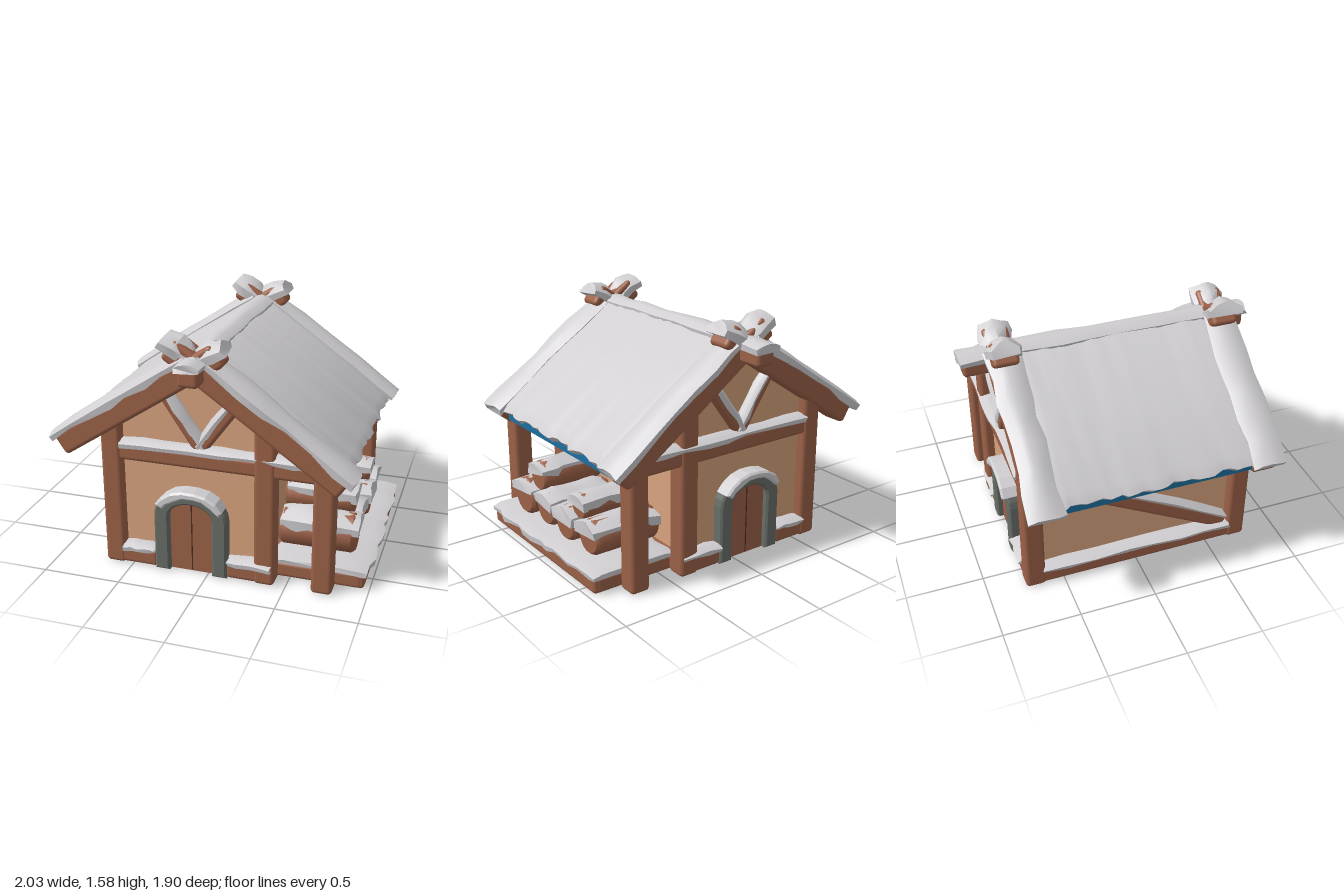
import * as THREE from 'three';
import { toCreasedNormals } from 'three/addons/utils/BufferGeometryUtils.js';
import { RoundedBoxGeometry } from 'three/addons/geometries/RoundedBoxGeometry.js';

const V = (x, y, z) => new THREE.Vector3(x, y, z);
const UP = V(0, 1, 0);
const outline = (points) => new THREE.Shape(points.map(([x, y]) => new THREE.Vector2(x, y)));

export function createModel() {
  const model = new THREE.Group();
  model.name = 'snowyCabin';

  const material = (name, color, side = THREE.FrontSide) => {
    const m = new THREE.MeshStandardMaterial({ color, side });
    m.name = name;
    return m;
  };
  const wood = material('wood', 0x9b6148);
  const seamWood = material('darkWood', 0x4a2d22);
  const plaster = material('plaster', 0xd7a37d, THREE.DoubleSide);
  const snowWhite = material('snow', 0xd0ced1);
  const stone = material('stone', 0x686d67);
  const blue = material('blueRoof', 0x1d6f9e);

  let seed = 7;
  const rand = () => (seed = (seed * 16807) % 2147483647) / 2147483647;
  const jit = (s) => (rand() - 0.5) * 2 * s;

  const add = (name, geometry, mat, parent = model) => {
    const mesh = new THREE.Mesh(geometry, mat);
    mesh.name = name;
    parent.add(mesh);
    return mesh;
  };

  // Turns a shape lying along local x so that it runs from a to b
  const orient = (mesh, a, b, up) => {
    const x = b.clone().sub(a).normalize();
    const z = x.clone().cross(up).normalize();
    const y = z.clone().cross(x);
    mesh.quaternion.setFromRotationMatrix(new THREE.Matrix4().makeBasis(x, y, z));
    mesh.position.copy(a).add(b).multiplyScalar(0.5);
    return mesh;
  };

  const beam = (name, a, b, h, w, up = UP) =>
    orient(add(name, new RoundedBoxGeometry(a.distanceTo(b), h, w, 3, 0.026), wood), a, b, up);

  // Lumpy strip of snow whose base lies on the line a-b
  const snow = (name, a, b, w, t, { up = UP, seg = 6, drop = 0.03, bump = 0.14, shoulder = 0.95 } = {}) => {
    const len = a.distanceTo(b), half = w / 2, e = Math.min(w * 0.25, 0.06), j = Math.min(w * 0.08, 0.016);
    const pos = [], idx = [], n = 7;
    for (let s = 0; s <= seg; s++) {
      const end = s === 0 || s === seg;
      const x = (s / seg - 0.5) * len + (end ? 0 : jit(len / seg * 0.25));
      const k = t * (end ? 0.75 : 1) * (1 + jit(bump));
      const L = half + jit(j), R = half + jit(j);
      const section = [[-L, -drop * rand()], [-L - 0.006, k * 0.4], [-L + e, k * shoulder], [0, k * 1.08],
        [R - e, k * shoulder], [R + 0.006, k * 0.4], [R, -drop * rand()]];
      for (const [z, y] of section) pos.push(x + (end ? jit(0.01) : 0), y, z);
    }
    for (let s = 0; s < seg; s++) for (let i = 0; i < n; i++) {
      const p = s * n + i, q = s * n + (i + 1) % n;
      idx.push(p, q, q + n, p, q + n, p + n);
    }
    const last = seg * n;
    for (let i = 1; i < n - 1; i++) idx.push(0, i + 1, i, last, last + i, last + i + 1);
    const g = new THREE.BufferGeometry();
    g.setAttribute('position', new THREE.Float32BufferAttribute(pos, 3));
    g.setIndex(idx);
    return orient(add(name, toCreasedNormals(g, 0.7), snowWhite), a, b, up);
  };

  const FRONT = 0.71, BACK = -0.69, LEFT = -0.615, RIGHT = 0.365, OUTER = 0.725;

  // Roof slopes: eave end and crossing end of each rafter axis, and x of the board eave
  const slopes = [
    { eave: [-0.935, 0.79], top: [0.09, 1.466], boardX: -0.9 },
    { eave: [0.85, 0.735], top: [-0.212, 1.485], boardX: 0.825 },
  ];
  for (const { eave, top, boardX } of slopes) {
    const dir = V(top[0] - eave[0], top[1] - eave[1], 0).normalize();
    const up = V(-dir.y, dir.x, 0).multiplyScalar(Math.sign(dir.x));
    const shift = (v, lift, along) => v.clone().addScaledVector(up, lift).addScaledVector(dir, along);
    for (const z of [0.735, -0.683]) {
      const a = V(eave[0], eave[1], z), b = V(top[0], top[1], z);
      beam('rafter', a, b, 0.15, 0.165, up);
      snow('rafterSnow', shift(a, 0.066, -0.02), shift(b, 0.066, -0.17), 0.2, 0.05, { up, seg: 7 });
      snow('rafterTipSnow', shift(b, -0.005, -0.17), shift(b, -0.012, 0.045), 0.185, 0.1, { up, seg: 3, drop: 0.02, shoulder: 0.9 });
    }
    // Blue roof boards with plumb-cut eaves and a snow sheet between the rafters
    const axisY = (x) => eave[1] + (x - eave[0]) * dir.y / dir.x;
    const boards = outline([[boardX, -0.046], [boardX, 0.046], [-0.05, 0.046], [-0.05, -0.046]]
      .map(([x, y]) => [x, axisY(x) + y]));
    add('roofBoards', new THREE.ExtrudeGeometry(boards, { depth: 1.27, bevelEnabled: false }), blue).position.z = -0.61;
    const low = V(boardX, axisY(boardX), 0), high = V(-0.05, axisY(-0.05), 0);
    const mid = shift(low.clone().add(high).multiplyScalar(0.5), 0.036, -0.005);
    snow('roofSnow', mid.clone().setZ(-0.62), mid.clone().setZ(0.67), low.distanceTo(high) + 0.02, 0.045,
      { up, seg: 26, drop: 0.03, bump: 0.05 });
  }

  // Ridge beam
  beam('ridgeBeam', V(-0.048, 1.35, -0.925), V(-0.048, 1.35, 0.925), 0.11, 0.13);
  snow('ridgeSnow', V(-0.048, 1.4, -0.945), V(-0.048, 1.4, 0.94), 0.15, 0.05, { seg: 9 });

  // Posts
  for (const z of [FRONT, BACK])
    for (const [x, h] of [[LEFT, 0.98], [RIGHT, 1.04], [OUTER, 0.82]])
      beam('post', V(x, 0, z), V(x, h, z), 0.13, 0.13, V(1, 0, 0));

  // Gable walls and side walls
  const gable = outline([[LEFT, 0.01], [RIGHT, 0.01], [RIGHT, 0.78], [0.74, 0.78], [-0.05, 1.36], [LEFT, 0.99]]);
  for (const z of [FRONT, BACK]) add('gableWall', new THREE.ShapeGeometry(gable), plaster).position.z = z;
  for (const [x, h] of [[LEFT, 0.99], [RIGHT, 1.05]]) {
    const wall = add('sideWall', new THREE.PlaneGeometry(FRONT - BACK, h - 0.01), plaster);
    wall.rotation.y = Math.PI / 2;
    wall.position.set(x, h / 2, (FRONT + BACK) / 2);
  }

  // Door outline, stone ring around it and the snow on top of the arch
  const DOOR_X = -0.105, SPRING = 0.38;
  const archShape = (rx, ry) => new THREE.Shape()
    .moveTo(rx, 0).lineTo(rx, SPRING).absellipse(0, SPRING, rx, ry, 0, Math.PI).lineTo(-rx, 0);
  const ring = archShape(0.235, 0.185)
    .lineTo(-0.14, 0).lineTo(-0.14, SPRING).absellipse(0, SPRING, 0.14, 0.095, Math.PI, 0, true).lineTo(0.14, 0);
  const arc = [0, 1, 2, 3, 4, 5, 6, 7].map((i) => 0.45 + i * 0.32);
  const lumpEdge = (rx, ry, s) => arc.map((a) => [(rx + jit(s)) * Math.cos(a), SPRING + (ry + jit(s)) * Math.sin(a)]);
  const lump = outline([...lumpEdge(0.245, 0.2, 0.006), ...lumpEdge(0.2, 0.14, 0.018).reverse()]);
  const extrude = (shape, depth, bevel) => new THREE.ExtrudeGeometry(shape, {
    depth, curveSegments: 6, bevelEnabled: bevel > 0, bevelSize: bevel, bevelThickness: bevel, bevelOffset: -bevel, bevelSegments: 1 });

  for (const [z, s] of [[FRONT, 1], [BACK, -1]]) {
    // Doorway
    const door = new THREE.Group();
    door.name = 'doorway';
    door.position.set(DOOR_X, 0.005, z);
    door.rotation.y = s > 0 ? 0 : Math.PI;
    model.add(door);
    add('stoneArch', extrude(ring, 0.09, 0.012), stone, door).position.z = -0.03;
    add('doorPanel', extrude(archShape(0.145, 0.1), 0.03, 0), wood, door);
    add('doorSeam', new THREE.BoxGeometry(0.007, 0.46, 0.006), seamWood, door).position.set(0, 0.235, 0.03);
    add('archSnow', extrude(lump, 0.115, 0.012), snowWhite, door).position.z = -0.02;

    // Tie beam and gable braces
    beam('tieBeam', V(LEFT, 0.775, z), V(OUTER, 0.775, z), 0.11, 0.11);
    snow('tieBeamSnow', V(-0.56, 0.822, z), V(0.68, 0.822, z), 0.13, 0.038, { seg: 8, drop: 0.02, bump: 0.25 });
    for (const [x, y, side] of [[-0.27, 1.18, 1], [0.19, 1.16, -1]]) {
      const a = V(-0.045, 0.84, z), b = V(x, y, z);
      const up = V((y - 0.84) * side, Math.abs(x + 0.045), 0).normalize();
      beam('gableBrace', a, b, 0.075, 0.08, up);
      snow('gableBraceSnow', a.addScaledVector(up, 0.015), b.addScaledVector(up, 0.015), 0.09, 0.042, { up, seg: 4, drop: 0.015 });
    }

    // Ground sills either side of the door
    for (const [x0, x1, from, to] of [[LEFT, -0.33, -0.56, -0.34], [0.12, RIGHT, 0.13, 0.41]]) {
      beam('sill', V(x0, 0.063, z), V(x1, 0.063, z), 0.115, 0.12);
      snow('sillSnow', V(from, 0.115, z + s * 0.01), V(to, 0.115, z + s * 0.01), 0.14, 0.036, { seg: 4, drop: 0.02 });
    }
  }

  // Left side sill and diagonal brace
  beam('sideSill', V(LEFT, 0.063, BACK), V(LEFT, 0.063, FRONT), 0.115, 0.12);
  snow('sideSillSnow', V(LEFT - 0.01, 0.115, BACK + 0.05), V(LEFT - 0.01, 0.115, FRONT - 0.05), 0.145, 0.035, { seg: 7, drop: 0.02 });
  const b0 = V(LEFT, 0.8, -0.6), b1 = V(LEFT, 0.13, 0.63);
  beam('sideBrace', b0, b1, 0.11, 0.1);
  snow('sideBraceSnow', b0.clone().setY(0.855), b1.clone().setY(0.185), 0.11, 0.03, { drop: 0.015 });

  // Wood store deck
  beam('deckEdge', V(0.905, 0.058, -0.62), V(0.905, 0.058, 0.65), 0.11, 0.125);
  beam('deckInnerEdge', V(RIGHT, 0.058, BACK), V(RIGHT, 0.058, FRONT), 0.11, 0.12);
  for (const z of [0.605, -0.575]) beam('deckEnd', V(0.38, 0.058, z), V(0.95, 0.058, z), 0.105, 0.1);
  add('deckSnowBase', new THREE.BoxGeometry(0.515, 0.1, 1.2), snowWhite).position.set(0.685, 0.051, 0.015);
  snow('deckSnow', V(0.69, 0.105, -0.63), V(0.69, 0.105, 0.655), 0.59, 0.038, { seg: 14 });

  // Firewood logs: z, y, radius, length
  const logs = [[0.4, 0.25, 0.127, 0.48], [0.15, 0.245, 0.118, 0.46], [-0.11, 0.245, 0.118, 0.47],
    [-0.37, 0.245, 0.115, 0.46], [0.27, 0.425, 0.102, 0.44], [-0.235, 0.395, 0.086, 0.44]];
  for (const [z, y, r, len] of logs) {
    const profile = [[0, 0], [r * 0.85, 0], [r, 0.02], [r, len - 0.02], [r * 0.85, len], [0, len]]
      .map(([px, py]) => new THREE.Vector2(px, py));
    const log = add('log', toCreasedNormals(new THREE.LatheGeometry(profile, 14), 0.7), wood);
    log.rotation.z = -Math.PI / 2;
    log.position.set(0.39, y, z);
    snow('logSnow', V(0.4, y + r * 0.45, z), V(0.41 + len, y + r * 0.45, z), r * 1.9, r * 0.62,
      { seg: 5, drop: 0.05, shoulder: 0.82 });
  }

  return model;
}
